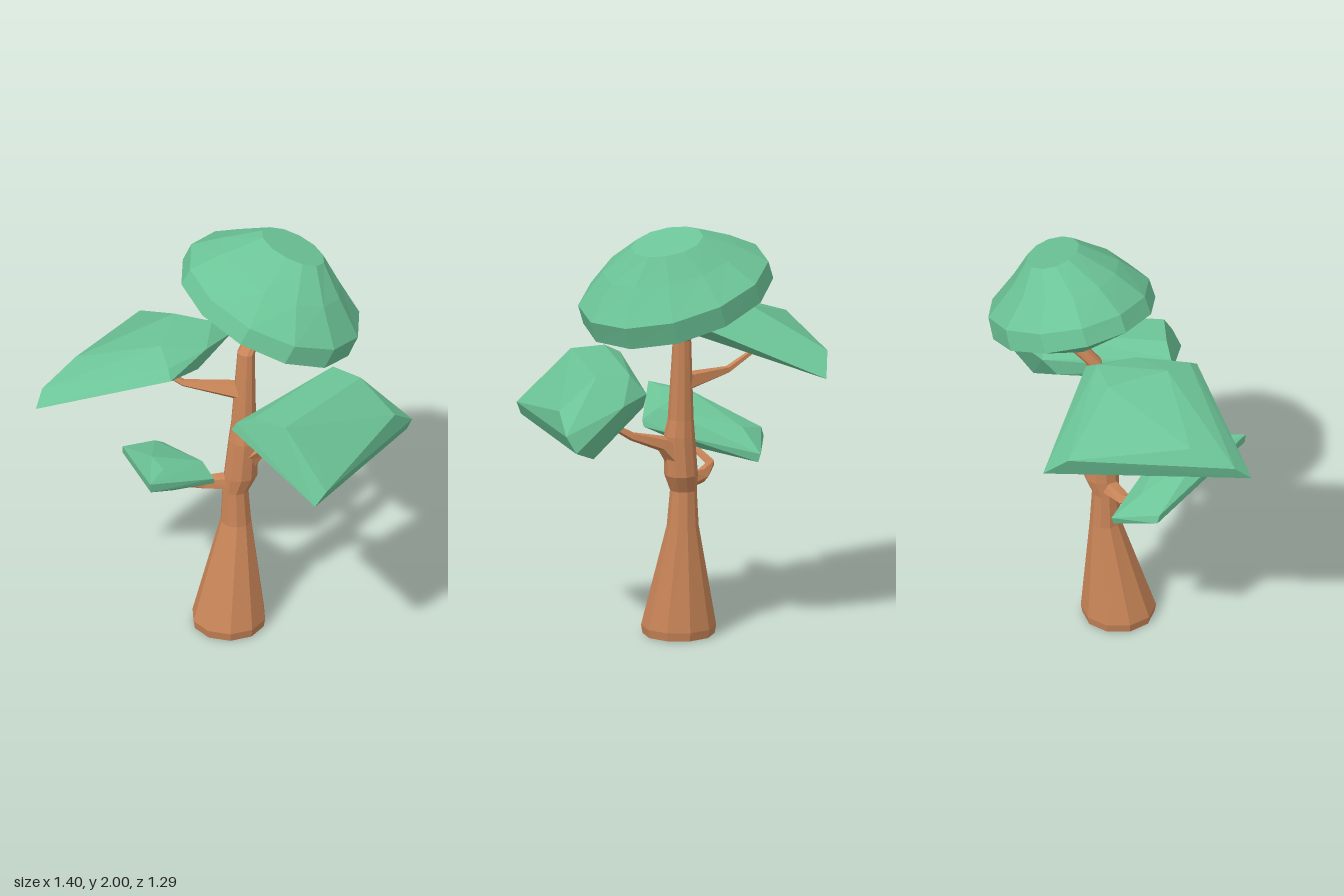
import * as THREE from 'three';
import { ConvexGeometry } from 'three/addons/geometries/ConvexGeometry.js';

const bark = new THREE.MeshStandardMaterial({ color: 0xc98558, flatShading: true });
const leaf = new THREE.MeshStandardMaterial({ color: 0x6cc497, flatShading: true });

// Closed loft through rings [x, y, z, radiusX, radiusZ, normal?], listed from bottom to top
function loft(rings, sides, phase = 0) {
  const up = new THREE.Vector3(0, 1, 0);
  const loops = rings.map(([x, y, z, rx, rz, n]) => {
    const q = new THREE.Quaternion();
    if (n) q.setFromUnitVectors(up, new THREE.Vector3(...n).normalize());
    return Array.from({ length: sides }, (_, i) => {
      const a = phase + (i / sides) * Math.PI * 2;
      return new THREE.Vector3(Math.cos(a) * rx, 0, Math.sin(a) * rz)
        .applyQuaternion(q).add(new THREE.Vector3(x, y, z));
    });
  });
  const pos = [];
  const tri = (...pts) => pts.forEach((p) => pos.push(p.x, p.y, p.z));
  const centre = (k) => new THREE.Vector3(...rings[k].slice(0, 3));
  const last = rings.length - 1;
  for (let i = 0; i < sides; i++) {
    const j = (i + 1) % sides;
    for (let k = 0; k < last; k++) {
      const a = loops[k], b = loops[k + 1];
      tri(a[i], b[i], a[j]);
      tri(a[j], b[i], b[j]);
    }
    tri(centre(0), loops[0][i], loops[0][j]);
    tri(centre(last), loops[last][j], loops[last][i]);
  }
  const geo = new THREE.BufferGeometry();
  geo.setAttribute('position', new THREE.Float32BufferAttribute(pos, 3));
  geo.computeVertexNormals();
  return geo;
}

// Tapered branch along path points [x, y, z, radius]
function branch(path) {
  const rings = path.map(([x, y, z, r], i) => {
    const a = path[Math.max(i - 1, 0)], b = path[Math.min(i + 1, path.length - 1)];
    return [x, y, z, r, r, [b[0] - a[0], b[1] - a[1], b[2] - a[2]]];
  });
  return loft(rings, 5);
}

const slab = (pts) => new ConvexGeometry(pts.map((p) => new THREE.Vector3(...p)));

export function createModel() {
  const tree = new THREE.Group();
  tree.name = 'tree';
  const add = (name, geo, mat) => {
    const mesh = new THREE.Mesh(geo, mat);
    mesh.name = name;
    tree.add(mesh);
  };

  // Flared trunk that leans back and kinks below the crown
  add('trunk', loft([
    [-0.03, 0, -0.04, 0.167, 0.167],
    [-0.03, 0.04, -0.04, 0.174, 0.174],
    [-0.037, 0.53, -0.1, 0.074, 0.072],
    [-0.04, 0.7, -0.1, 0.062, 0.062],
    [-0.025, 0.78, -0.12, 0.078, 0.082],
    [-0.015, 0.97, -0.13, 0.072, 0.072],
    [-0.02, 1.05, -0.135, 0.06, 0.06],
    [-0.022, 1.43, -0.155, 0.043, 0.037],
    [-0.025, 1.53, -0.25, 0.036, 0.036, [0, 1, -0.6]],
  ], 10, 0.2), bark);

  // Branches reaching to the three side canopies
  add('leftBranch', branch([
    [-0.01, 0.87, -0.13, 0.07], [0.07, 0.94, -0.16, 0.038], [0.22, 0.99, -0.19, 0.021], [0.37, 1.08, -0.2, 0.012],
  ]), bark);
  add('rightBranch', branch([
    [-0.03, 1.222, -0.14, 0.05], [-0.27, 1.235, 0, 0.018], [-0.44, 1.32, 0.08, 0.01],
  ]), bark);
  add('frontBranch', branch([
    [-0.04, 0.74, -0.1, 0.047], [-0.15, 0.737, 0, 0.033], [-0.21, 0.765, 0.1, 0.022], [-0.12, 0.85, 0.27, 0.012],
  ]), bark);

  // Domed crown, tilted back and to the left
  add('crown', loft([
    [-0.02, 1.505, -0.22, 0.05, 0.05, [0.1, 1, -0.1]],
    [0.015, 1.643, -0.25, 0.455, 0.385, [0.3, 1, -0.235]],
    [0.045, 1.735, -0.28, 0.455, 0.38, [0.28, 1, -0.2]],
    [0.065, 1.857, -0.3, 0.32, 0.255, [0.23, 1, -0.2]],
    [0.09, 1.956, -0.36, 0.17, 0.125, [0.2, 1, -0.27]],
  ], 12, 0.2), leaf);

  // Faceted slab canopies: rim corners first, then the upper plateau
  add('rightCanopy', slab([
    [-0.67, 1.25, -0.32], [-0.7, 1.355, -0.2], [-0.62, 1.265, 0.645], [-0.645, 1.33, 0.57],
    [-0.07, 1.49, 0.33], [-0.11, 1.525, 0.3], [-0.09, 1.52, 0.05], [-0.13, 1.48, -0.18],
    [-0.14, 1.39, 0.05], [-0.45, 1.28, 0],
    [-0.62, 1.41, 0.36], [-0.23, 1.56, 0.21], [-0.37, 1.55, -0.05], [-0.2, 1.545, -0.12],
  ]), leaf);
  add('leftCanopy', slab([
    [0.18, 1.26, 0.19], [0.2, 1.3, 0.18], [0.7, 1.1, 0.13], [0.67, 1.03, 0.175],
    [0.615, 1.11, -0.59], [0.57, 1.03, -0.605], [0.465, 0.97, -0.49], [0.55, 1.0, -0.05],
    [0.33, 1.22, -0.52], [0.2, 1.25, -0.42], [0.2, 1.17, -0.35], [0.21, 1.17, 0.08],
    [0.28, 1.345, 0.15], [0.445, 1.345, 0.12], [0.62, 1.18, 0.07],
    [0.28, 1.345, -0.42], [0.44, 1.345, -0.43], [0.62, 1.2, -0.46],
  ]), leaf);
  add('frontCanopy', slab([
    [-0.01, 1.055, 0.55], [-0.01, 1.01, 0.545], [0.09, 0.96, 0.21], [0.085, 0.93, 0.2],
    [-0.06, 0.9, 0.12], [-0.42, 0.83, -0.03], [-0.41, 0.79, -0.02], [-0.48, 0.86, 0.19],
    [-0.47, 0.9, 0.2], [-0.13, 0.82, 0.24],
    [-0.04, 1.063, 0.42], [0.01, 1.02, 0.2], [-0.16, 1.055, 0.36], [-0.36, 0.93, 0.1],
  ]), leaf);

  return tree;
}
